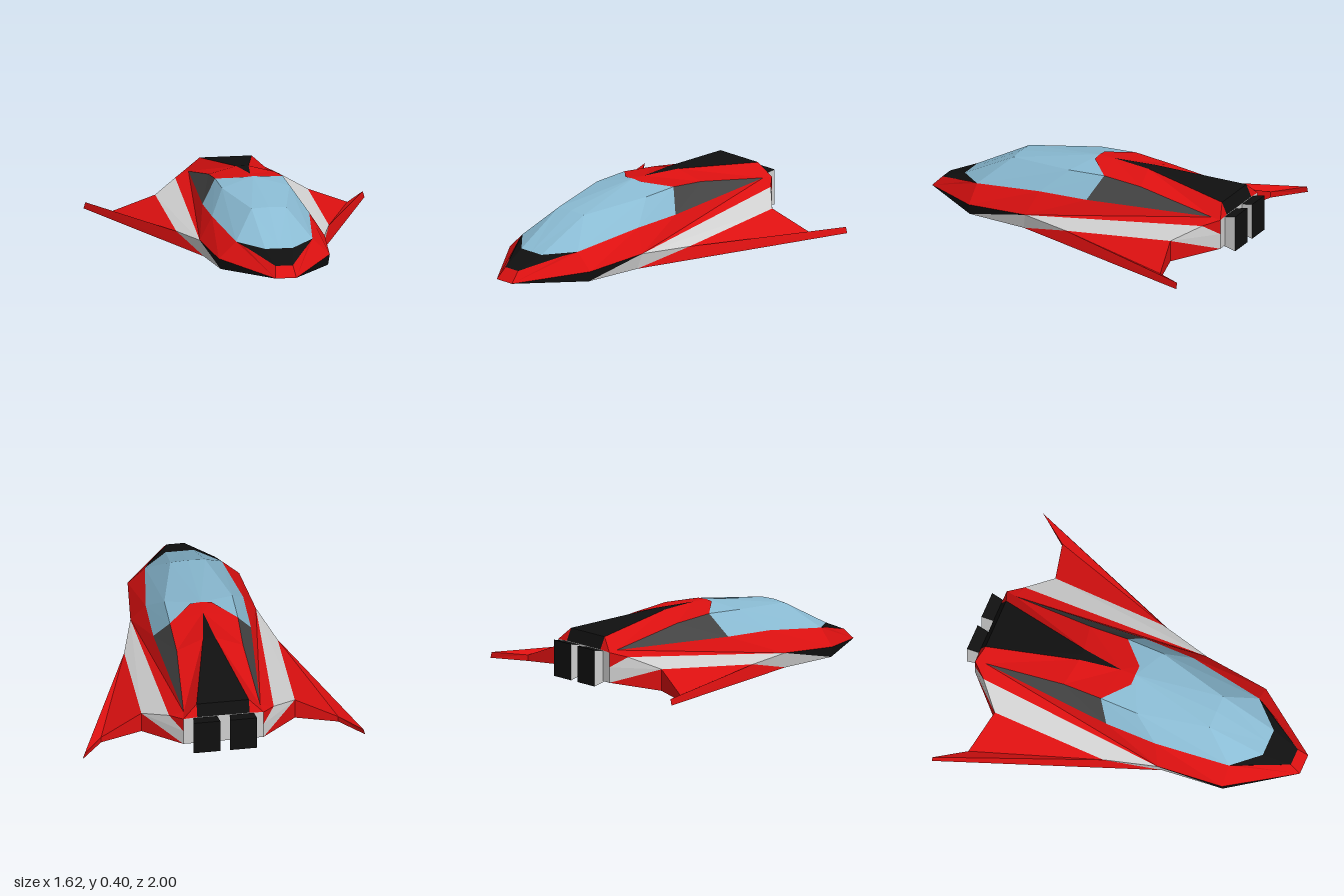
import * as THREE from 'three';

const mat = (name, color) => {
  const m = new THREE.MeshStandardMaterial({ color });
  m.name = name;
  return m;
};

// Key points of the left half (+x)
const P = {
  // nose and shoulder
  noseLow: [0.06, 0.03, 1], noseTop: [0.05, 0.09, 0.94], hood: [0.19, 0.16, 0.69],
  sillA: [0.22, 0.17, 0.63], sillB: [0.28, 0.225, 0.2], sillC: [0.28, 0.23, -0.1],
  sillD: [0.22, 0.25, -0.87], sillE: [0.23, 0.245, -0.93],
  chineA: [0.32, 0.075, 0.63], chineB: [0.36, 0.1, 0.25], chineC: [0.3, 0.22, -0.85],
  bandTop: [0.44, 0.155, -0.72], bandLow: [0.44, 0.09, -0.05],
  // underside
  keelA: [0.31, 0.015, 0.63], keelB: [0.34, 0.01, 0.27], keelC: [0.35, 0, -0.3],
  keelD: [0.44, 0.03, -0.72], tailMid: [0.23, 0.16, -0.93], tailLow: [0.23, 0.07, -0.93],
  // canopy
  glassFront: [0.08, 0.155, 0.78], glassTop: [0.1, 0.32, 0.46],
  roofA: [0.195, 0.353, 0.05], roofB: [0.195, 0.36, -0.17], roofRear: [0.06, 0.39, -0.04],
  // rear roof
  roofC: [0.19, 0.335, -0.4], stripeA: [0.035, 0.382, -0.37],
  stripeB: [0.15, 0.32, -0.9], stripeC: [0.15, 0.25, -0.93],
  // wing
  tipTop: [0.8, 0.075, -0.95], tipLow: [0.81, 0.04, -0.95],
  notchTop: [0.68, 0.055, -0.78], notchLow: [0.68, 0.02, -0.78],
  // centre line
  c0: [0, 0.03, 1], c1: [0, 0.09, 0.94], c2: [0, 0.155, 0.78], c3: [0, 0.325, 0.46],
  c4: [0, 0.395, -0.04], c5: [0, 0.39, -0.13], c6: [0, 0.383, -0.37],
  c7: [0, 0.32, -0.9], c8: [0, 0.25, -0.93], c9: [0, 0.07, -0.93],
};

// Mirrored faces; each is [outward direction, 'point names' as a fan]
function panels(name, material, faces) {
  const pos = [];
  const a = new THREE.Vector3(), b = new THREE.Vector3(), c = new THREE.Vector3();
  const n = new THREE.Vector3(), e = new THREE.Vector3();
  for (const [out, names] of faces) {
    const pts = names.split(' ').map((k) => P[k]);
    for (let i = 1; i < pts.length - 1; i++) {
      a.fromArray(pts[0]); b.fromArray(pts[i]); c.fromArray(pts[i + 1]);
      n.subVectors(b, a).cross(e.subVectors(c, a));
      const flip = n.dot(e.fromArray(out)) < 0;
      const tri = flip ? [a, c, b] : [a, b, c];
      for (const v of tri) pos.push(v.x, v.y, v.z);
      for (const v of [tri[0], tri[2], tri[1]]) pos.push(-v.x, v.y, v.z);
    }
  }
  const g = new THREE.BufferGeometry();
  g.setAttribute('position', new THREE.Float32BufferAttribute(pos, 3));
  g.computeVertexNormals();
  const mesh = new THREE.Mesh(g, material);
  mesh.name = name;
  return mesh;
}

export function createModel() {
  const red = mat('red paint', 0xdc1010);
  const black = mat('black paint', 0x101010);
  const dark = mat('dark grey', 0x444444);
  const white = mat('light grey', 0xd0d0d0);
  const glass = mat('blue glass', 0x8abbd3);

  const up = [0, 1, 0], down = [0, -1, 0], side = [1, 0.3, 0], front = [0, 0.5, 1], back = [0, 0, -1];
  const upSide = [1, 1, 0], chamfer = [1, 0, -1];
  const model = new THREE.Group();
  model.name = 'spacecraft';

  model.add(
    panels('noseTip', red, [[front, 'c0 noseLow noseTop c1']]),
    panels('hood', black, [[up, 'c1 noseTop glassFront c2'], [up, 'noseTop hood sillA glassFront']]),
    panels('shoulder', red, [
      [upSide, 'noseLow chineA sillA hood noseTop'],
      [upSide, 'chineA chineB sillB sillA'],
      [upSide, 'chineB chineC sillD sillC sillB'],
      [upSide, 'chineC sillE sillD'],
    ]),
    panels('lowerCheek', black, [[side, 'noseLow chineA keelA'], [side, 'chineA chineB keelA']]),
    panels('sideBand', white, [
      [side, 'keelA chineB keelB'], [side, 'keelB chineB bandLow'],
      [side, 'chineB chineC bandTop bandLow'],
      [chamfer, 'bandTop chineC tailMid tailLow'],
    ]),
    panels('tailCorner', red, [[chamfer, 'chineC sillE tailMid'], [chamfer, 'bandTop tailLow keelD']]),
    panels('underside', dark, [[down, 'c0 noseLow keelA keelB tailLow c9']]),
    panels('rearWall', white, [[back, 'c9 c8 stripeC sillE tailLow']]),
    panels('canopy', glass, [
      [front, 'c2 glassFront glassTop c3'],
      [[1, 1, 1], 'glassFront sillA glassTop'],
      [upSide, 'sillA sillB roofA glassTop'],
      [upSide, 'sillB sillC roofB roofA'],
      [up, 'c4 c3 glassTop roofA roofB roofRear'],
    ]),
    panels('rearWindow', dark, [[upSide, 'sillC sillD roofC roofB']]),
    panels('rearRoof', red, [
      [up, 'c5 c4 roofRear roofB roofC stripeA'],
      [up, 'stripeA roofC sillD stripeB'],
      [[0, 1, -1], 'stripeB sillD sillE stripeC'],
    ]),
    panels('roofStripe', black, [
      [up, 'c5 stripeA c6'], [up, 'c6 stripeA stripeB c7'], [[0, 1, -1], 'c7 stripeB stripeC c8'],
    ]),
    panels('wing', red, [
      [up, 'bandLow bandTop notchTop tipTop'],
      [side, 'keelB bandLow tipTop tipLow'],
      [down, 'keelC keelB tipLow notchLow keelD'],
      [down, 'keelC keelB tailLow keelD'],
      [back, 'bandTop notchTop notchLow keelD'],
      [[-1, 0, -1], 'notchTop tipTop tipLow notchLow'],
    ]),
  );

  // Flared twin nozzles
  for (const s of [-1, 1]) {
    const g = new THREE.BoxGeometry(1, 1, 1);
    const p = g.attributes.position;
    for (let i = 0; i < p.count; i++) {
      const rear = p.getZ(i) < 0;
      p.setXYZ(i,
        s * 0.105 + p.getX(i) * (rear ? 0.155 : 0.135),
        0.155 + p.getY(i) * (rear ? 0.21 : 0.18),
        rear ? -1 : -0.925);
    }
    g.computeVertexNormals();
    const nozzle = new THREE.Mesh(g, [white, white, black, black, white, black]);
    nozzle.name = s > 0 ? 'leftNozzle' : 'rightNozzle';
    model.add(nozzle);
  }
  return model;
}
